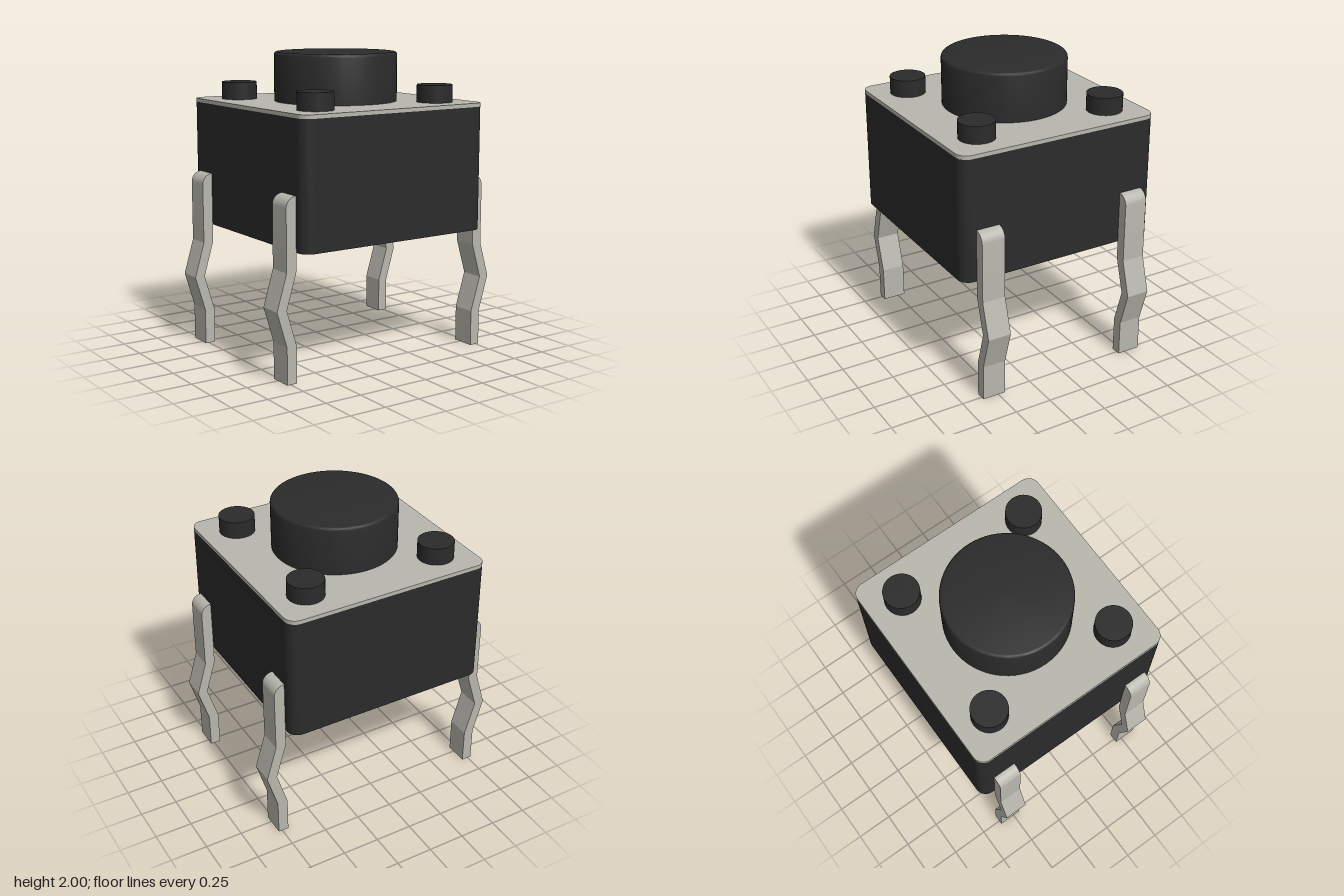
import * as THREE from 'three';
import { toCreasedNormals } from 'three/addons/utils/BufferGeometryUtils.js';

const plastic = new THREE.MeshStandardMaterial({ color: 0x2b2b2b });
const metal = new THREE.MeshStandardMaterial({ color: 0xb8b7ae });

function addMesh(parent, name, geometry, material) {
  const mesh = new THREE.Mesh(geometry, material);
  mesh.name = name;
  parent.add(mesh);
  return mesh;
}

// Square slab with rounded vertical corners, standing between y0 and y1
function roundedSlab(half, radius, y0, y1) {
  const inner = half - radius;
  const shape = new THREE.Shape();
  for (let i = 0; i < 4; i++) {
    const a = (i * Math.PI) / 2;
    const cx = i === 0 || i === 3 ? inner : -inner;
    const cy = i < 2 ? inner : -inner;
    shape.absarc(cx, cy, radius, a, a + Math.PI / 2, false);
  }
  shape.closePath();
  const g = new THREE.ExtrudeGeometry(shape, { depth: y1 - y0, bevelEnabled: false, curveSegments: 10 });
  g.rotateX(-Math.PI / 2).translate(0, y0, 0);
  return toCreasedNormals(g, 0.5);
}

// Kinked strip leg on the +x side, centred on z = 0
function legGeometry() {
  const inX = 0.705, outX = 0.775, kink = 0.07, width = 0.16;
  const s = new THREE.Shape();
  s.moveTo(inX, 0);
  s.lineTo(outX, 0);
  s.lineTo(outX, 0.24);
  s.lineTo(outX + kink, 0.475);
  s.lineTo(outX, 0.71);
  s.lineTo(outX, 1.11);
  s.absarc(inX, 1.11, 0.07, 0, Math.PI / 2, false);
  s.lineTo(inX, 0.71);
  s.lineTo(inX + kink, 0.475);
  s.lineTo(inX, 0.24);
  s.closePath();
  const g = new THREE.ExtrudeGeometry(s, { depth: width, bevelEnabled: false, curveSegments: 10 });
  g.translate(0, 0, -width / 2);
  return toCreasedNormals(g, 0.25);
}

// Round plunger with a softened top edge
function plungerGeometry() {
  const r = 0.41, top = 2, b = 0.02;
  const profile = [new THREE.Vector2(0, 1.66), new THREE.Vector2(r, 1.66)];
  for (let i = 0; i <= 4; i++) {
    const a = (i / 4) * (Math.PI / 2);
    profile.push(new THREE.Vector2(r - b + b * Math.cos(a), top - b + b * Math.sin(a)));
  }
  profile.push(new THREE.Vector2(0, top));
  return toCreasedNormals(new THREE.LatheGeometry(profile, 64), 0.5);
}

export function createModel() {
  const model = new THREE.Group();
  model.name = 'pushButtonSwitch';

  addMesh(model, 'housing', roundedSlab(0.705, 0.075, 0.83, 1.65), plastic);
  addMesh(model, 'coverPlate', roundedSlab(0.705, 0.075, 1.65, 1.675), metal);
  addMesh(model, 'plunger', plungerGeometry(), plastic);

  // One peg and one leg per corner
  const peg = new THREE.CylinderGeometry(0.118, 0.118, 0.13, 40);
  const leg = legGeometry();
  for (const sx of [1, -1]) {
    for (const sz of [1, -1]) {
      const corner = (sz > 0 ? 'Front' : 'Back') + (sx > 0 ? 'Left' : 'Right');
      addMesh(model, 'peg' + corner, peg, plastic).position.set(sx * 0.47, 1.725, sz * 0.47);
      const pin = addMesh(model, 'leg' + corner, leg, metal);
      pin.position.z = sz * 0.53;
      pin.rotation.y = sx > 0 ? 0 : Math.PI;
    }
  }
  return model;
}
